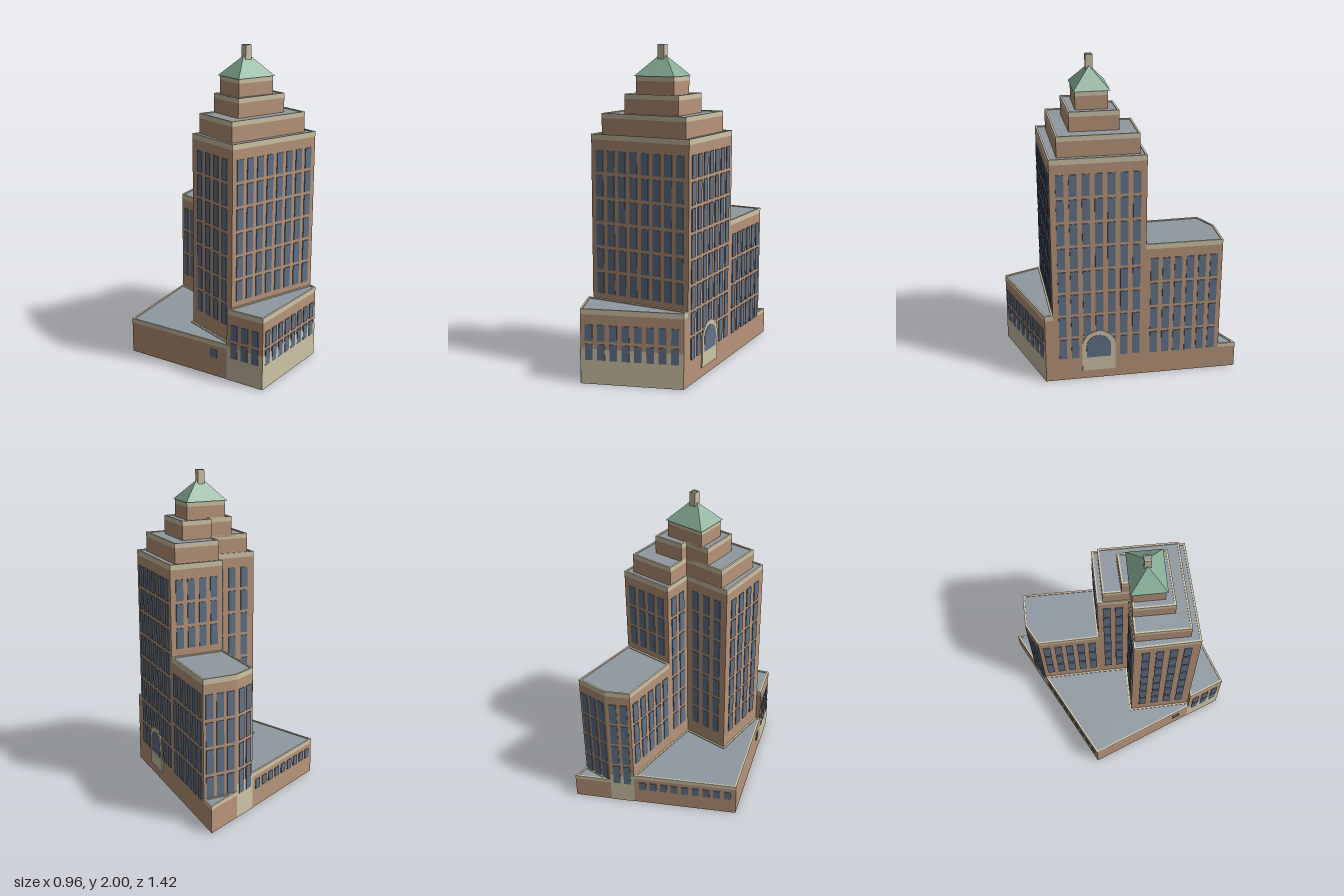
import * as THREE from 'three';
import { mergeGeometries } from 'three/addons/utils/BufferGeometryUtils.js';

const paint = (name, color) => {
  const m = new THREE.MeshStandardMaterial({ color, side: THREE.DoubleSide });
  m.name = name;
  return m;
};

export function createModel() {
  const brick = paint('brick', 0xb8957a);
  const cream = paint('creamStone', 0xcfc4a8);
  const glass = paint('blueGlass', 0x627389);
  const slate = paint('greyRoof', 0x8f98a1);
  const copper = paint('greenCopper', 0x86ad96);

  const model = new THREE.Group();
  model.name = 'officeTower';
  const add = (parent, name, geometry, material) => {
    const mesh = new THREE.Mesh(geometry, material);
    mesh.name = name;
    parent.add(mesh);
    return mesh;
  };

  // Places a geometry made in wall space (x along a to b, y up, z outward)
  const onWall = (geo, [ax, az], [bx, bz]) =>
    geo.rotateY(Math.atan2(az - bz, bx - ax)).translate((ax + bx) / 2, 0, (az + bz) / 2);
  const length = (a, b) => Math.hypot(b[0] - a[0], b[1] - a[1]);

  // Moves every corner of a plan inwards by d
  const inset = (pts, d) => pts.map((p, i) => {
    const n = pts.length;
    const normal = (a, b) => [-(b[1] - a[1]) / length(a, b), (b[0] - a[0]) / length(a, b)];
    const u = normal(pts[(i + n - 1) % n], p), v = normal(p, pts[(i + 1) % n]);
    const k = d / (1 + u[0] * v[0] + u[1] * v[1]);
    return [p[0] - (u[0] + v[0]) * k, p[1] - (u[1] + v[1]) * k];
  });
  const outline = pts => pts.map(([x, z]) => new THREE.Vector2(x, -z));

  // Hollow block: walls from each edge's own base (null = open), parapet ring and flat roof
  function block(name, pts, top, bases, band = 0.033, lip = 0.011) {
    const g = new THREE.Group();
    g.name = name;
    const walls = [];
    pts.forEach((a, i) => {
      const base = bases[i];
      if (base === null) return;
      const b = pts[(i + 1) % pts.length], h = top - band - base;
      walls.push(onWall(new THREE.PlaneGeometry(length(a, b), h).translate(0, base + h / 2, 0), a, b));
    });
    add(g, 'walls', mergeGeometries(walls), brick);
    const inner = outline(inset(pts, lip));
    const ring = new THREE.Shape(outline(pts));
    ring.holes.push(new THREE.Path(inner));
    const cap = new THREE.ExtrudeGeometry(ring, { depth: band, bevelEnabled: false });
    add(g, 'parapet', cap.rotateX(-Math.PI / 2).translate(0, top - band, 0), cream);
    const roof = new THREE.ShapeGeometry(new THREE.Shape(inner));
    add(g, 'flatRoof', roof.rotateX(-Math.PI / 2).translate(0, top - 0.006, 0), slate);
    model.add(g);
  }

  // Grid of thin window plates centred on a wall
  function windows(name, a, b, cols, rows, top, pitchY, { pitchX = 0.076, w = 0.047, gap = 0.021, shift = 0 } = {}) {
    const panes = [];
    for (let c = 0; c < cols; c++) {
      for (let r = 0; r < rows; r++) {
        const h = pitchY - gap;
        panes.push(onWall(new THREE.BoxGeometry(w, h, 0.006).translate(
          shift + (c - (cols - 1) / 2) * pitchX, top - r * pitchY - h / 2, 0.002), a, b));
      }
    }
    add(model, name, mergeGeometries(panes), glass);
  }

  // Thin stone facing at the foot of a wall
  const facing = (name, a, b, h) =>
    add(model, name, onWall(new THREE.PlaneGeometry(length(a, b), h).translate(0, h / 2, 0.0025), a, b), cream);

  // Plans, each listed front edge first, then right, back and left
  const tower = [[-0.17, 0.475], [0.475, 0.45], [0.475, -0.125], [0.13, -0.12], [0.13, 0.07], [-0.18, 0.07]];
  const wing = [[0.13, -0.12], [0.475, -0.125], [0.475, -0.6], [0.26, -0.597], [0.12, -0.522]];
  const podium = [[-0.205, 0.475], [-0.11, 0.71], [0.475, 0.5], [0.475, 0.45], [-0.17, 0.475]];
  const annex = [[-0.48, -0.2], [-0.205, 0.475], [-0.17, 0.475], [-0.18, 0.07], [0.13, 0.07], [0.13, -0.12], [0.12, -0.522]];
  const rearStrip = [[0.26, -0.597], [0.475, -0.6], [0.475, -0.71]];

  block('tower', tower, 1.475, [0.44, 0, 0.88, 0.2, 0.2, 0.2]);
  block('rearWing', wing, 0.905, [null, 0, 0.14, 0, 0.2]);
  block('podium', podium, 0.465, [0, 0, 0, null, 0.2]);
  block('lowAnnex', annex, 0.23, [0, null, null, null, null, null, 0], 0.028);
  block('rearStrip', rearStrip, 0.17, [null, 0, 0], 0.025);

  // Stepped crown
  const tier = (name, pts, base, top, band) => block(name, pts, top, pts.map(() => base), band);
  tier('lowerSetback', [[-0.133, 0.415], [0.428, 0.4], [0.428, -0.09], [0.135, -0.085], [0.135, 0.075], [-0.133, 0.075]], 1.46, 1.595, 0.03);
  tier('middleSetback', [[-0.025, 0.328], [0.333, 0.315], [0.333, 0.018], [0.135, 0.027], [0.135, 0.075], [-0.025, 0.075]], 1.58, 1.708, 0.03);
  tier('upperSetback', [[0.02, 0.27], [0.278, 0.27], [0.278, 0.075], [0.02, 0.075]], 1.69, 1.812, 0.028);

  // Hipped copper roof with a short ridge
  const hip = new THREE.BufferGeometry();
  hip.setAttribute('position', new THREE.Float32BufferAttribute([
    0.012, 1.812, 0.28, 0.285, 1.812, 0.28, 0.285, 1.812, 0.063, 0.012, 1.812, 0.063,
    0.125, 1.935, 0.172, 0.17, 1.935, 0.172], 3));
  hip.setIndex([0, 1, 5, 0, 5, 4, 1, 2, 5, 2, 3, 4, 2, 4, 5, 3, 0, 4, 0, 3, 2, 0, 2, 1]);
  const hipFlat = hip.toNonIndexed();
  hipFlat.computeVertexNormals();
  add(model, 'hippedRoof', hipFlat, copper);

  // Chimney on the ridge
  block('chimney', [[0.126, 0.193], [0.169, 0.193], [0.169, 0.151], [0.126, 0.151]], 2.0, [null, null, null, null].map(() => 1.9), 0.09, 0.006);

  // Tower windows
  windows('towerFrontWindows', tower[0], tower[1], 8, 6, 1.38, 0.15);
  windows('towerRightWindows', tower[1], tower[2], 7, 8, 1.38, 0.1556);
  windows('towerBackWindows', tower[2], tower[3], 4, 3, 1.38, 0.15);
  windows('notchSideWindows', tower[3], tower[4], 2, 7, 1.38, 0.152);
  windows('notchBackWindows', tower[4], tower[5], 3, 7, 1.38, 0.152, { pitchX: 0.085 });
  windows('towerLeftWindows', tower[5], tower[0], 4, 7, 1.38, 0.152, { pitchX: 0.085 });

  // Wing windows
  windows('wingRightWindows', wing[1], wing[2], 6, 4, 0.81, 0.17, { pitchX: 0.074 });
  windows('wingBackWindows', wing[2], wing[3], 3, 4, 0.81, 0.17, { pitchX: 0.068 });
  windows('wingCornerWindows', wing[3], wing[4], 2, 4, 0.81, 0.17, { pitchX: 0.07 });
  windows('wingLeftWindows', wing[4], wing[0], 5, 3, 0.81, 0.17);

  // Podium, annex windows and stone facings
  windows('podiumFrontWindows', podium[1], podium[2], 8, 2, 0.37, 0.12, { pitchX: 0.0742, w: 0.046 });
  windows('podiumLeftWindows', podium[0], podium[1], 3, 2, 0.37, 0.12, { pitchX: 0.074, w: 0.046 });
  windows('annexBackWindows', annex[6], annex[0], 9, 1, 0.175, 0.08, { pitchX: 0.071, w: 0.045 });
  windows('annexLeftWindow', annex[0], annex[1], 1, 1, 0.175, 0.072, { shift: 0.27, w: 0.05 });
  facing('podiumFrontStone', podium[1], podium[2], 0.22);
  facing('podiumLeftStone', podium[0], podium[1], 0.22);
  facing('wingCornerStone', wing[3], wing[4], 0.22);

  // Arched entrance on the right side
  const arch = (name, w, y0, y1, rise, depth, material) => {
    const s = new THREE.Shape();
    s.moveTo(-w / 2, y0).lineTo(w / 2, y0).lineTo(w / 2, y1 - rise);
    s.absellipse(0, y1 - rise, w / 2, rise, 0, Math.PI, false, 0);
    s.closePath();
    const geo = new THREE.ExtrudeGeometry(s, { depth, bevelEnabled: false, curveSegments: 16 });
    add(model, name, onWall(geo, [0.475, 0.169], [0.475, 0.167]), material);
  };
  arch('archSurround', 0.207, 0.06, 0.338, 0.1, 0.007, cream);
  arch('archGlass', 0.154, 0.155, 0.308, 0.077, 0.0095, glass);

  return model;
}
